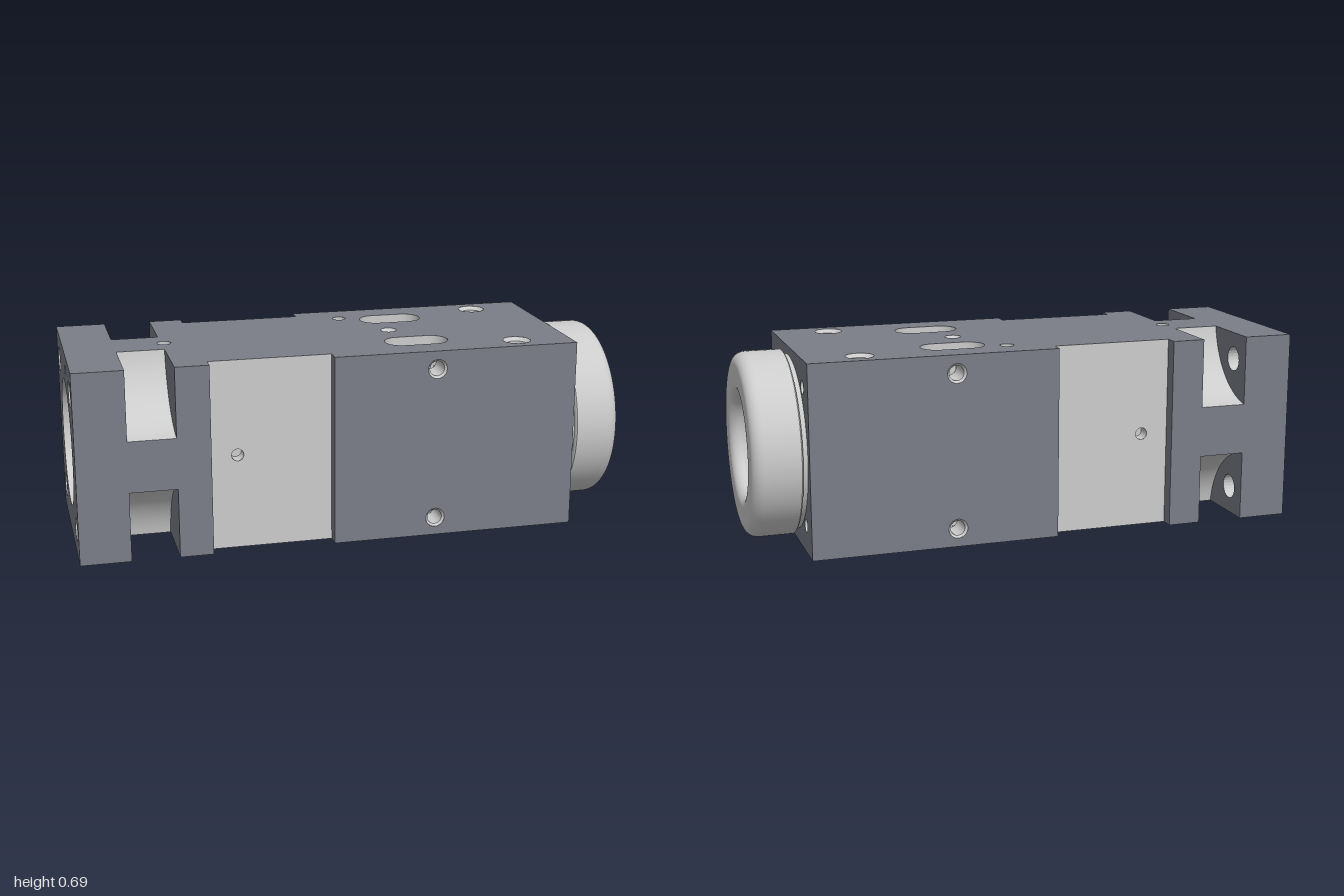
import * as THREE from 'three';

const H = 0.346, CY = 0.351;            // half width of the square body, axis height
const BORE = 0.23, THREAD = 0.152;      // inner radii
const NOTCH = 0.093, RECESS = 0.297;    // half width left at the notches / recess
const SCREW = 0.247, PIN_X = 0.286, PIN_Y = 0.28, PIN_R = 0.027;
const SLOT = { x: 0.254, z: 0.179, half: 0.056, r: 0.061 };
const VENT = { x: 0.065, z: -0.225, r: 0.025 };
const signs = [-1, 1];

const material = (color) => new THREE.MeshStandardMaterial({ color, side: THREE.DoubleSide });
const V2 = (x, y) => new THREE.Vector2(x, y);

const circle = (x, y, r) => new THREE.Path().absarc(x, y, r, 0, Math.PI * 2, false);

function slotPath(z) {
  const p = new THREE.Path();
  p.absarc(SLOT.x + SLOT.half, z, SLOT.r, -Math.PI / 2, Math.PI / 2, false);
  p.absarc(SLOT.x - SLOT.half, z, SLOT.r, Math.PI / 2, Math.PI * 1.5, false);
  p.closePath();
  return p;
}

// Flat face from outline points, with holes
function face(points, holes = []) {
  const s = new THREE.Shape(points);
  s.holes.push(...holes);
  return new THREE.ShapeGeometry(s, 24);
}
const rect = (x0, y0, x1, y1) => [V2(x0, y0), V2(x1, y0), V2(x1, y1), V2(x0, y1)];

// Curved sheet from a rule (u, v) -> point; cells whose centre fails keep() are left open
function sheet(nu, nv, rule, keep = () => true) {
  const pos = [], index = [];
  for (let i = 0; i <= nu; i++)
    for (let j = 0; j <= nv; j++) pos.push(...rule(i / nu, j / nv));
  for (let i = 0; i < nu; i++)
    for (let j = 0; j < nv; j++) {
      if (!keep(...rule((i + 0.5) / nu, (j + 0.5) / nv))) continue;
      const a = i * (nv + 1) + j, b = a + nv + 1;
      index.push(a, a + 1, b, b, a + 1, b + 1);
    }
  const g = new THREE.BufferGeometry();
  g.setAttribute('position', new THREE.Float32BufferAttribute(pos, 3));
  g.setIndex(index);
  g.computeVertexNormals();
  return g;
}

// Points of a circular arc for turned profiles (radius, x)
const arc = (r, x, rad, a0, a1) => Array.from({ length: 9 }, (_, i) => {
  const a = a0 + (a1 - a0) * i / 8;
  return V2(r + rad * Math.cos(a), x + rad * Math.sin(a));
});

export function createModel() {
  const model = new THREE.Group();
  model.name = 'toolHousing';
  const body = new THREE.Group();
  body.name = 'body';
  body.position.y = CY;
  model.add(body);

  const dark = material(0x7a7d87), light = material(0xcccccc);
  const add = (name, geo, mat, x = 0, y = 0, z = 0) => {
    const m = new THREE.Mesh(geo, mat);
    m.name = name;
    m.position.set(x, y, z);
    body.add(m);
    return m;
  };
  // Drilled hole: optional countersink R -> r, closed floor unless open
  const drill = (name, pos, normal, r, depth, { R = r, open = false } = {}) => {
    const pts = [V2(R, 0), V2(r, -Math.max(R - r, 0.001)), V2(r, -depth)];
    if (!open) pts.push(V2(0, -depth));
    const m = add(name, new THREE.LatheGeometry(pts, 24).toNonIndexed(), light, ...pos);
    m.geometry.computeVertexNormals();
    m.quaternion.setFromUnitVectors(new THREE.Vector3(0, 1, 0), new THREE.Vector3(...normal));
  };
  const turned = (name, pts, mat) => {
    add(name, new THREE.LatheGeometry(pts, 96), mat).rotation.z = -Math.PI / 2;
  };

  // Top and bottom plates
  const half = [[-1, H], [-0.82, H], [-0.82, NOTCH], [-0.65, NOTCH], [-0.65, H], [-0.53, H],
    [-0.53, RECESS], [-0.09, RECESS], [-0.09, H], [0.81, H]];
  const plan = [...half.map(([x, z]) => V2(x, z)), ...half.map(([x, z]) => V2(x, -z)).reverse()];
  for (const s of signs) {
    const holes = [slotPath(SLOT.z), slotPath(-SLOT.z), circle(VENT.x, VENT.z, VENT.r),
      circle(0.61, 0.26, 0.05), circle(0.61, -0.26, 0.05)];
    if (s > 0) holes.push(circle(0.2, 0, 0.03), circle(-0.64, 0, 0.025));
    add(s > 0 ? 'topPlate' : 'bottomPlate', face(plan, holes).rotateX(Math.PI / 2), dark, 0, s * H);
    for (const z of signs)
      drill('mountingHole', [0.61, s * H, z * 0.26], [0, s, 0], 0.037, 0.09, { R: 0.05 });
    drill('ventHole', [VENT.x, s * H, VENT.z], [0, s, 0], VENT.r, H, { open: true });
  }
  drill('topDowelHole', [0.2, H, 0], [0, 1, 0], 0.018, 0.06, { R: 0.03 });
  drill('topRearHole', [-0.64, H, 0], [0, 1, 0], 0.025, 0.06);

  // Side plates, recessed panels and their steps
  const iShape = [[-1, H], [-0.82, H], [-0.82, NOTCH], [-0.65, NOTCH], [-0.65, H], [-0.53, H]];
  const iPoints = [...iShape.map(([x, y]) => V2(x, y)), ...iShape.map(([x, y]) => V2(x, -y)).reverse()];
  for (const s of signs) {
    add('sidePlate', face(rect(-0.09, -H, 0.81, H),
      signs.map((k) => circle(PIN_X, k * PIN_Y, 0.035))), dark, 0, 0, s * H);
    add('clampSide', face(iPoints), dark, 0, 0, s * H);
    add('recessPanel', face(rect(-0.53, -H, -0.09, H), [circle(-0.43, 0, 0.022)]),
      light, 0, 0, s * RECESS);
    drill('recessHole', [-0.43, 0, s * RECESS], [0, 0, s], 0.022, 0.05);
    for (const x of [-0.53, -0.09])
      add('recessStep', face(rect(RECESS, -H, H, H)).rotateY(-s * Math.PI / 2), dark, x);
    for (const k of signs)
      drill('crossPinHole', [PIN_X, k * PIN_Y, s * H], [0, 0, s], PIN_R,
        H - SLOT.z - SLOT.r + 0.003, { R: 0.035, open: true });
  }
  for (const k of signs)
    add('crossPinBore', new THREE.CylinderGeometry(PIN_R, PIN_R, 0.24, 24, 1, true).rotateX(Math.PI / 2),
      light, PIN_X, k * PIN_Y);

  // End faces
  const square = rect(-H, -H, H, H);
  const corners = signs.flatMap((a) => signs.map((b) => [a, b]));
  const rearHoles = corners.map(([a, b]) => circle(a * SCREW, b * SCREW, 0.045));
  rearHoles.push(circle(0, 0, BORE), circle(0.07, 0.29, 0.018));
  add('rearFace', face(square, rearHoles).rotateY(-Math.PI / 2), dark, -1);
  drill('rearDowelHole', [-1, 0.29, 0.07], [-1, 0, 0], 0.018, 0.06);
  const noseHoles = corners.map(([a, b]) => circle(a * SCREW, b * SCREW, 0.024));
  add('noseFace', face(square, [circle(0, 0, 0.17), ...noseHoles]).rotateY(-Math.PI / 2), dark, 0.81);

  // Scooped corner notches with clamp screw holes
  const C = 0.39, R = Math.hypot(C - H, C - NOTCH);
  const t0 = Math.atan2(H - C, NOTCH - C), t1 = Math.atan2(NOTCH - C, H - C);
  for (const [a, b] of corners) {
    const scoop = (t) => [a * (C + R * Math.cos(t0 + (t1 - t0) * t)), b * (C + R * Math.sin(t0 + (t1 - t0) * t))];
    add('notchScoop', sheet(16, 1, (u, v) => {
      const [z, y] = scoop(u);
      return [-0.82 + 0.17 * v, y, z];
    }), light);
    const outline = [V2(a * H, b * H)];
    for (let i = 0; i <= 16; i++) outline.push(V2(...scoop(i / 16)));
    add('flangeInnerFace', face(outline, [circle(a * SCREW, b * SCREW, 0.045)]).rotateY(-Math.PI / 2), dark, -0.82);
    add('notchEndFace', face(outline).rotateY(-Math.PI / 2), dark, -0.65);
    drill('flangeScrewHole', [-1, b * SCREW, a * SCREW], [-1, 0, 0], 0.045, 0.18, { open: true });
    drill('noseScrewHole', [0.81, b * SCREW, a * SCREW], [1, 0, 0], 0.024, 0.05);
  }

  // Long slots running through the bore, pierced by the cross pins
  for (const s of signs) {
    const pts = slotPath(s * SLOT.z).getSpacedPoints(100);
    for (const k of signs)
      add('slotWall', sheet(100, 30, (u, v) => {
        const i = u * 100, p = pts[Math.floor(i)].clone().lerp(pts[Math.ceil(i)], i % 1);
        const y0 = Math.sqrt(Math.max(0, BORE * BORE - p.y * p.y));
        return [p.x, k * (y0 + (H - y0) * v), p.y];
      }, (x, y) => Math.hypot(x - PIN_X, Math.abs(y) - PIN_Y) > PIN_R), light);
  }

  // Main bore; the middle part is opened where slots and vent cross it
  turned('rearBore', [V2(BORE, -1), V2(BORE, 0.03)], light);
  turned('frontBore', [V2(BORE, 0.41), V2(BORE, 0.45)], light);
  turned('boreShoulder', [V2(BORE, 0.45), V2(THREAD, 0.45)], light);
  add('slottedBore', sheet(90, 128, (u, v) => [0.03 + 0.38 * u,
    BORE * Math.cos(v * Math.PI * 2), BORE * Math.sin(v * Math.PI * 2)], (x, y, z) => {
    const dx = Math.max(Math.abs(x - SLOT.x) - SLOT.half, 0);
    return Math.hypot(dx, Math.abs(z) - SLOT.z) > SLOT.r && Math.hypot(x - VENT.x, z - VENT.z) > VENT.r;
  }), light);

  // Threaded throat
  const thread = [];
  for (let x = 0.45; x < 0.9; x += 0.045)
    thread.push(V2(THREAD, x), V2(THREAD, x + 0.03), V2(0.165, x + 0.034), V2(0.165, x + 0.041));
  thread.push(V2(THREAD, 0.915));
  turned('threadedThroat', thread, light);

  // Rounded nose ring
  turned('ringNeck', [V2(0.315, 0.81), V2(0.315, 0.828)], light);
  turned('ringBack', [V2(0.315, 0.828), V2(0.328, 0.828), V2(0.333, 0.833)], light);
  turned('noseRing', [V2(0.333, 0.833), V2(0.333, 0.9), ...arc(0.288, 0.955, 0.045, 0, Math.PI / 2),
    V2(0.25, 1), ...arc(0.222, 0.96, 0.04, Math.PI / 2, Math.PI)], light);
  turned('ringThroat', [V2(0.182, 0.96), V2(0.178, 0.93), V2(THREAD, 0.915)], light);
  return model;
}
